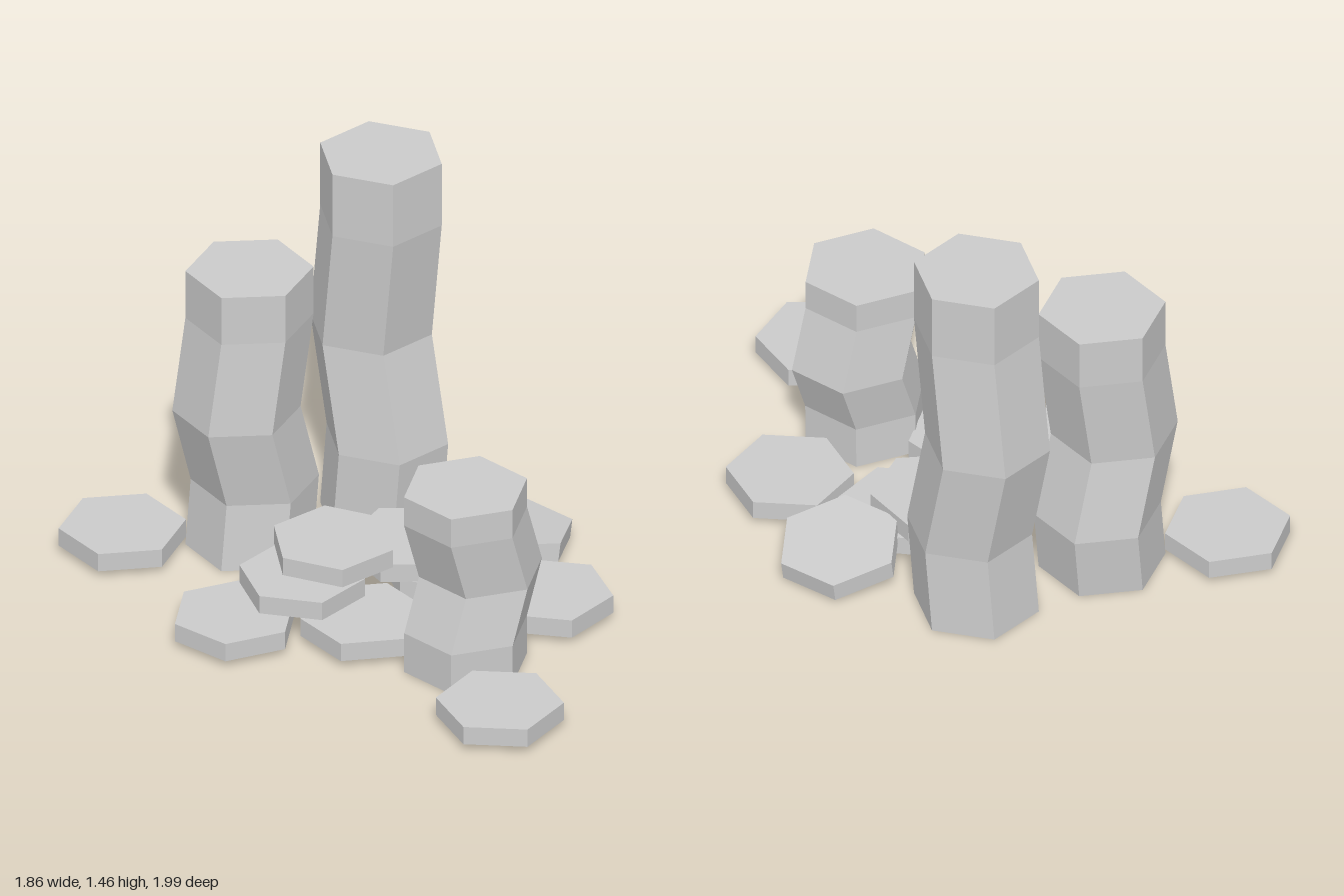
import * as THREE from 'three';

const R = 0.225;
const material = new THREE.MeshStandardMaterial({ color: 0xcccccc, flatShading: true });

// Six-sided prism with one corner at the given angle (degrees, from +x towards +z)
function hexPrism(height, angle, segments = 1) {
  const start = THREE.MathUtils.degToRad(90 - angle);
  return new THREE.CylinderGeometry(R, R, height, 6, segments, false, start);
}

// Kinked column: rings are [x, y, z] centres from the ground up
function column(name, angle, rings) {
  const n = rings.length - 1;
  const geometry = hexPrism(1, angle, n);
  const p = geometry.attributes.position;
  for (let i = 0; i < p.count; i++) {
    const [x, y, z] = rings[Math.round((p.getY(i) + 0.5) * n)];
    p.setXYZ(i, p.getX(i) + x, y, p.getZ(i) + z);
  }
  geometry.computeVertexNormals();
  const mesh = new THREE.Mesh(geometry, material);
  mesh.name = name;
  return mesh;
}

// Flat hexagonal slab centred at x, y, z
function slab(name, x, y, z, angle) {
  const mesh = new THREE.Mesh(hexPrism(0.07, angle), material);
  mesh.position.set(x, y, z);
  mesh.name = name;
  return mesh;
}

export function createModel() {
  const group = new THREE.Group();
  group.name = 'basaltColumns';

  // Standing columns
  group.add(
    column('tallColumn', 27, [
      [0.22, 0, -0.722], [0.24, 0.33, -0.704], [0.192, 0.74, -0.772],
      [0.22, 1.21, -0.722], [0.22, 1.46, -0.722]]),
    column('middleColumn', 4, [
      [-0.264, 0, -0.585], [-0.242, 0.25, -0.608], [-0.313, 0.56, -0.564],
      [-0.264, 0.92, -0.585], [-0.264, 1.11, -0.585]]),
    column('shortColumn', -9, [
      [0.37, 0, 0.342], [0.37, 0.16, 0.347], [0.428, 0.36, 0.304],
      [0.37, 0.595, 0.342], [0.37, 0.71, 0.342]]),
  );

  // Slabs in three layers: layer, x, z, corner angle
  const slabs = [
    [0, -0.71, -0.61, 0], [0, -0.405, 0.044, 46], [0, 0.042, 0.118, 59],
    [0, 0.71, 0.047, 18], [0, 0.431, 0.775, 12.5], [0, 0.376, -0.23, 22],
    [1, -0.148, -0.078, 20], [1, 0.265, -0.268, 7],
    [2, -0.024, -0.178, 30],
  ];
  const layers = ['groundSlab', 'stackedSlab', 'topSlab'];
  for (const [layer, x, z, angle] of slabs) {
    group.add(slab(layers[layer], x, 0.06 + layer * 0.07, z, angle));
  }

  // Slab leaning on the ground
  const leaning = slab('leaningSlab', 0.635, 0.078, -0.405, -11);
  leaning.quaternion.setFromUnitVectors(
    new THREE.Vector3(0, 1, 0), new THREE.Vector3(0.131, 1, -0.104).normalize());
  group.add(leaning);

  return group;
}
